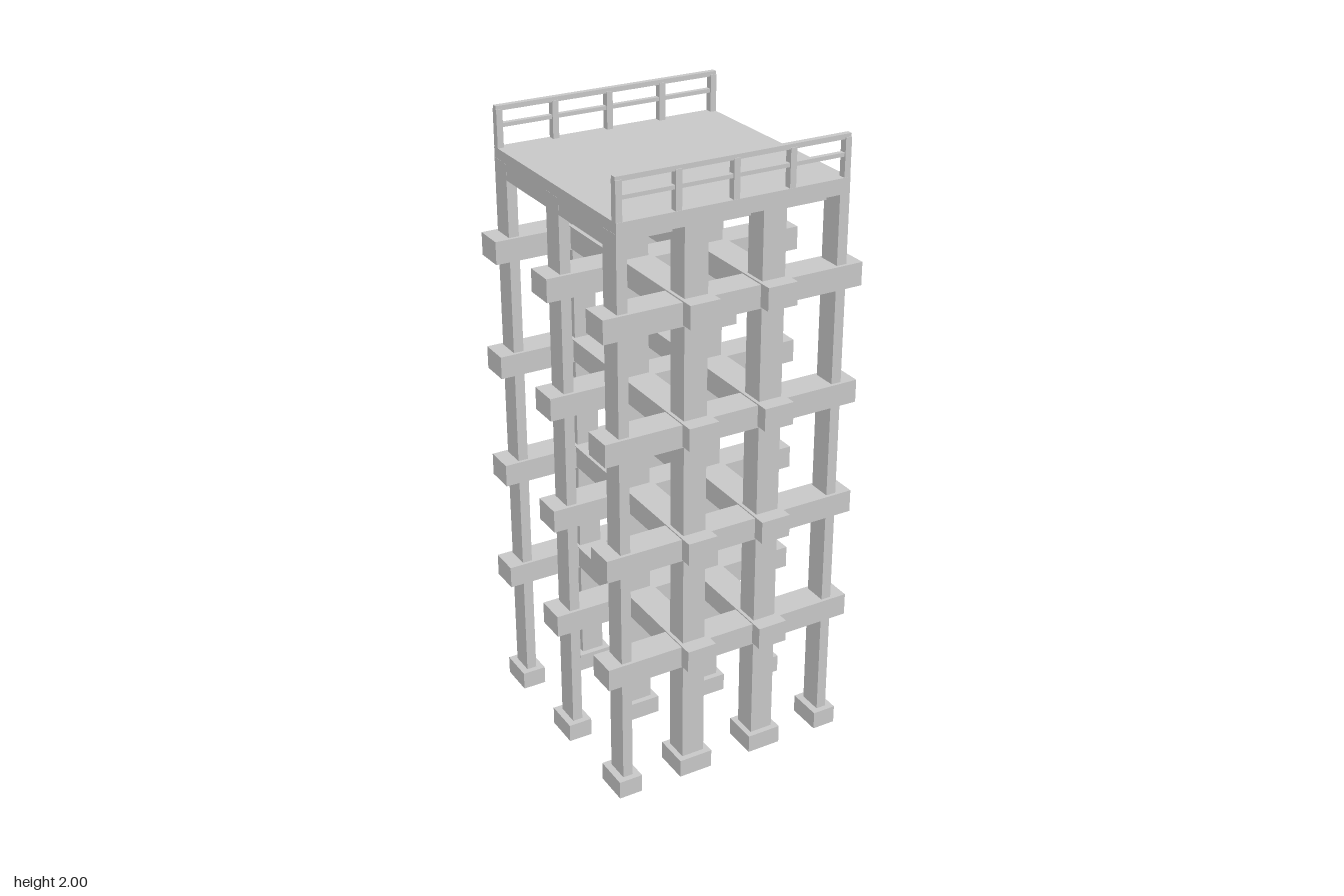
import * as THREE from 'three';

export function createModel() {
  const model = new THREE.Group();
  model.name = 'tower';
  const material = new THREE.MeshStandardMaterial({ color: 0xcccccc, flatShading: true });

  // Box centred on x and z, given by its bottom and top heights
  function box(parent, name, x, z, bottom, top, width, depth) {
    const mesh = new THREE.Mesh(new THREE.BoxGeometry(width, top - bottom, depth), material);
    mesh.position.set(x, (bottom + top) / 2, z);
    mesh.name = name;
    parent.add(mesh);
  }

  function group(name) {
    const g = new THREE.Group();
    g.name = name;
    model.add(g);
    return g;
  }

  const HALF = 0.376;
  const columnX = [-0.36, -0.127, 0.127, 0.36];
  const columnZ = [-0.337, 0, 0.337];

  // Columns on block footings: slim at the sides, square inside
  const columns = group('columns');
  for (const x of columnX) {
    const outer = Math.abs(x) > 0.3;
    for (const z of columnZ) {
      box(columns, 'footing', x, z, 0, 0.06, outer ? 0.078 : 0.113, 0.115);
      box(columns, 'column', x, z, 0.06, 1.84, outer ? 0.033 : 0.076, 0.077);
    }
  }

  // Four levels of crossing tie beams that pass beyond the columns
  const beams = group('tieBeams');
  for (let level = 0; level < 4; level++) {
    const y = 0.443 + level * 0.377;
    for (const z of columnZ) box(beams, 'crossBeam', 0, z, y - 0.037, y + 0.036, 0.852, 0.098);
    for (const x of [-0.127, 0.127]) box(beams, 'longBeam', x, 0, y - 0.032, y + 0.04, 0.098, 0.852);
  }

  // Deck slab with a deeper part set back from front and rear
  const deck = group('deck');
  box(deck, 'deckSlab', 0, 0, 1.825, 1.873, HALF * 2, HALF * 2);
  box(deck, 'deckSoffit', 0, 0, 1.79, 1.826, HALF * 2, 0.62);

  // Railings along front and rear
  for (const side of [-1, 1]) {
    const railing = group(side > 0 ? 'frontRailing' : 'rearRailing');
    const z = side * 0.363;
    for (let i = -2; i <= 2; i++) box(railing, 'railPost', i * 0.183, z, 1.873, 1.99, 0.02, 0.024);
    box(railing, 'topRail', 0, z, 1.985, 2, HALF * 2, 0.018);
    box(railing, 'middleRail', 0, z, 1.934, 1.946, HALF * 2 - 0.01, 0.016);
  }

  return model;
}
